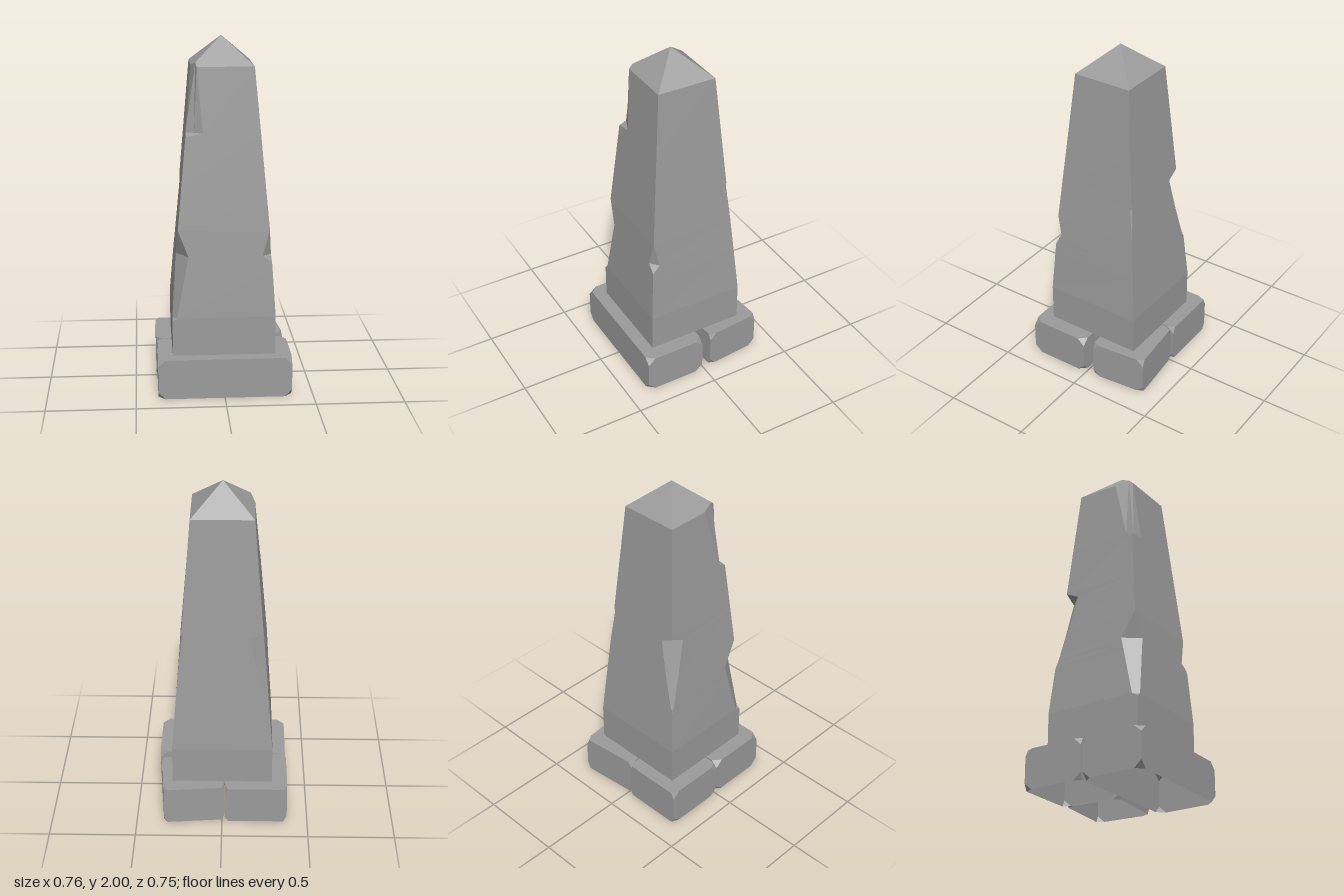
import * as THREE from 'three';
import { ConvexGeometry } from 'three/addons/geometries/ConvexGeometry.js';

// Both sides are drawn, as the stones are hollow and open underneath
const stone = new THREE.MeshStandardMaterial({ color: 0x9b9b9b, flatShading: true, side: THREE.DoubleSide });
const SHAFT_Z = 0.01; // the shaft sits slightly forward of the base centre
const CAP_SLOPE = 0.89;

function meshFrom(name, positions) {
  const geometry = new THREE.BufferGeometry();
  geometry.setAttribute('position', new THREE.Float32BufferAttribute(positions, 3));
  geometry.computeVertexNormals();
  const mesh = new THREE.Mesh(geometry, stone);
  mesh.name = name;
  return mesh;
}

// Box with its eight corners cut off and no underside
function chippedBlock(name, [w, h, d], [cx, cy, cz]) {
  const points = [];
  for (const sx of [-1, 1]) for (const sy of [-1, 1]) for (const sz of [-1, 1]) {
    const x = w / 2, y = h / 2, z = d / 2;
    points.push(
      new THREE.Vector3(sx * (x - cx), sy * y, sz * z),
      new THREE.Vector3(sx * x, sy * (y - cy), sz * z),
      new THREE.Vector3(sx * x, sy * y, sz * (z - cz)));
  }
  const hull = new ConvexGeometry(points).getAttribute('position').array;
  const positions = [];
  for (let i = 0; i < hull.length; i += 9) {
    const highest = Math.max(hull[i + 1], hull[i + 4], hull[i + 7]);
    if (highest > -h / 2 + 1e-4) positions.push(...hull.slice(i, i + 9));
  }
  return meshFrom(name, positions);
}

// Half width of the shaft: the taper changes lower at the front than at the back
function halfWidth(y, sz) {
  const [kinkY, kinkW] = sz > 0 ? [0.95, 0.256] : [1.15, 0.231];
  if (y < 0.45) return 0.29;
  return y < kinkY
    ? THREE.MathUtils.mapLinear(y, 0.45, kinkY, 0.29, kinkW)
    : THREE.MathUtils.mapLinear(y, kinkY, 1.845, kinkW, 0.174);
}

// Square cross-section; a corner chip is [dx, dz, bite into the cap]
function section({ y, chips = {} }) {
  const corners = [['frontLeft', 1, 1], ['backLeft', 1, -1], ['backRight', -1, -1], ['frontRight', -1, 1]];
  return corners.flatMap(([key, sx, sz]) => {
    const [dx, dz, bite] = chips[key] ?? [0, 0];
    const w = halfWidth(y, sz);
    const onX = new THREE.Vector3(sx * w, y, SHAFT_Z + sz * (w - dz));
    const onZ = new THREE.Vector3(sx * (w - dx), y, SHAFT_Z + sz * w);
    const middle = bite
      ? new THREE.Vector3(sx * (w - bite), y + bite * CAP_SLOPE, SHAFT_Z + sz * (w - bite))
      : onX.clone().lerp(onZ, 0.5);
    return sx * sz > 0 ? [onZ, middle, onX] : [onX, middle, onZ];
  });
}

// Skin the sections, skipping empty triangles, and close the top at a point
function loft(sections, top) {
  const positions = [];
  const triangle = (a, b, c) => {
    if (new THREE.Triangle(a, b, c).getArea() < 1e-6) return;
    for (const p of [a, b, c]) positions.push(p.x, p.y, p.z);
  };
  const n = sections[0].length;
  const last = sections.length - 1;
  for (let i = 0; i < n; i++) {
    const j = (i + 1) % n;
    for (let k = 0; k < last; k++) {
      const lo = sections[k], hi = sections[k + 1];
      triangle(lo[i], lo[j], hi[j]);
      triangle(lo[i], hi[j], hi[i]);
    }
    triangle(sections[last][i], sections[last][j], top);
  }
  return positions;
}

export function createModel() {
  const model = new THREE.Group();
  model.name = 'obelisk';

  // Three loose base stones, one of them turned a little
  const H = 0.23;
  const front = chippedBlock('frontBaseStone', [0.754, H, 0.363], [0.04, 0.04, 0.045]);
  front.position.set(0.002, H / 2, 0.194);
  const backRight = chippedBlock('backRightBaseStone', [0.363, H, 0.363], [0.019, 0.04, 0.044]);
  backRight.position.set(-0.198, H / 2, -0.178);
  const backLeft = chippedBlock('backLeftBaseStone', [0.354, H, 0.331], [0.019, 0.04, 0.04]);
  backLeft.position.set(0.178, H / 2, -0.197);
  backLeft.rotation.y = 0.092;

  // Tapering shaft with chipped edges and a pyramid cap
  const sections = [
    { y: 0.23 },
    { y: 0.43 },
    { y: 0.45, chips: { frontRight: [0.025, 0.035] } },
    { y: 0.72, chips: { frontRight: [0.058, 0.08] } },
    { y: 0.76, chips: { frontRight: [0.063, 0.087], backRight: [0.013, 0.013] } },
    { y: 0.8, chips: { frontLeft: [0.05, 0.042], frontRight: [0.068, 0.094], backRight: [0.022, 0.022] } },
    { y: 0.95, chips: { backRight: [0.05, 0.052] } },
    { y: 1.15, chips: { backRight: [0.08, 0.085], backLeft: [0.01, 0.01] } },
    { y: 1.19 },
    { y: 1.465 },
    { y: 1.485, chips: { frontRight: [0.095, 0.04] } },
    { y: 1.845, chips: { frontRight: [0.03, 0.103, 0.024] } },
  ].map(section);
  const shaft = meshFrom('shaft', loft(sections, new THREE.Vector3(0, 2, SHAFT_Z)));

  model.add(front, backRight, backLeft, shaft);
  return model;
}
